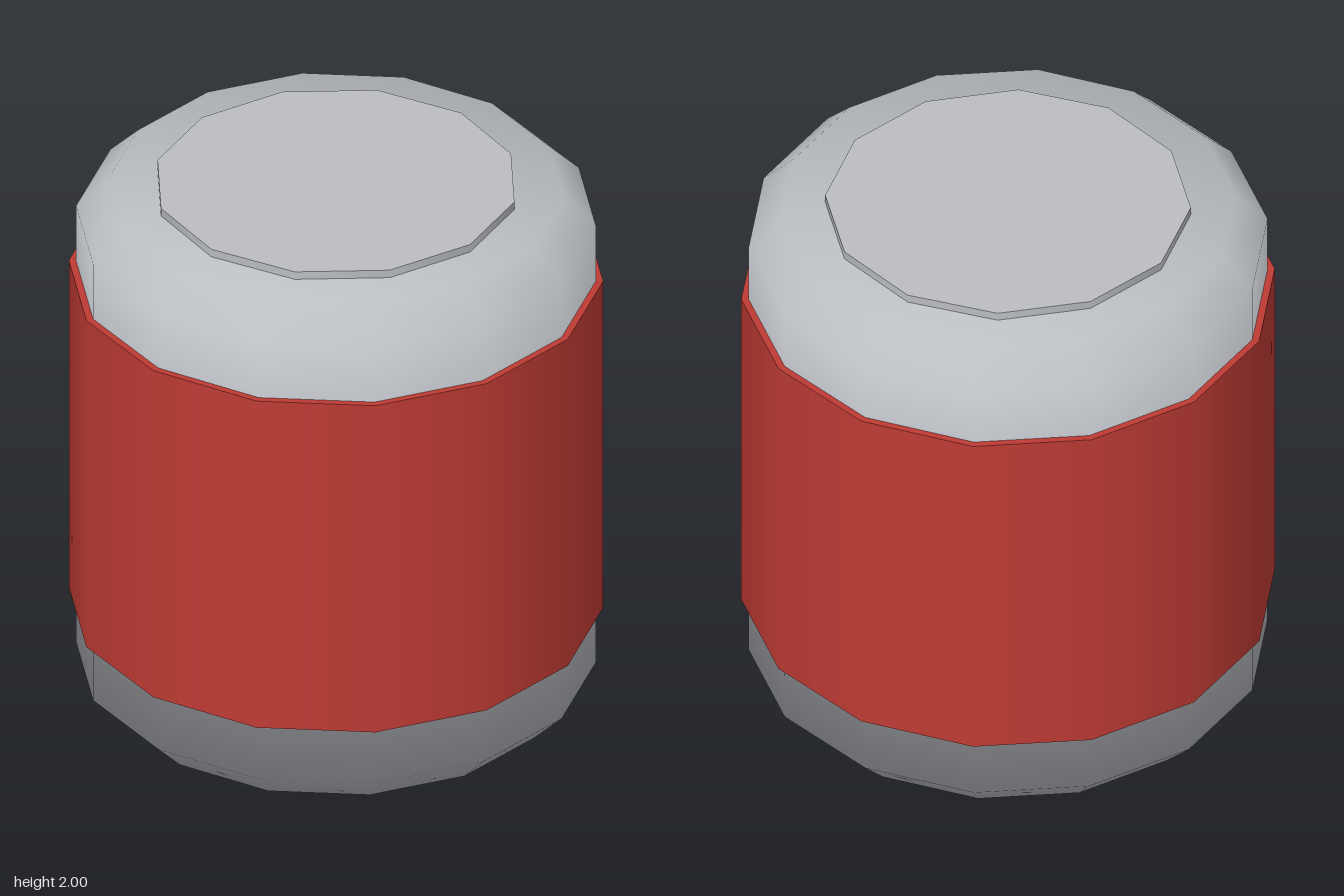
import * as THREE from 'three';

const SIDES = 14;

export function createModel() {
  const model = new THREE.Group();
  const metal = new THREE.MeshStandardMaterial({ color: 0xbbbec3 });
  metal.name = 'light grey metal';
  const red = new THREE.MeshStandardMaterial({ color: 0xbf3b34 });
  red.name = 'red wrap';

  const add = (name, geometry, material, y) => {
    const mesh = new THREE.Mesh(geometry, material);
    mesh.name = name;
    mesh.position.y = y;
    model.add(mesh);
  };

  // Can body: chamfered drum, a corner of the polygon on each side
  const height = 1.97;
  // radius, height, upward tilt of the shading normal in degrees
  const rings = [[0, 0, -90], [0.79, 0, -65], [0.9, 0.11, -40],
    [0.9, height - 0.11, 40], [0.79, height, 65], [0, height, 90]];
  const body = new THREE.LatheGeometry(
    rings.map(([r, y]) => new THREE.Vector2(r, y)), SIDES, Math.PI / 2);
  // Soft shading that rolls over the chamfers
  const normal = body.attributes.normal;
  for (let i = 0; i < normal.count; i++) {
    const tilt = THREE.MathUtils.degToRad(rings[i % rings.length][2]);
    const turn = Math.PI / 2 + Math.floor(i / rings.length) * 2 * Math.PI / SIDES;
    normal.setXYZ(i, Math.sin(turn) * Math.cos(tilt), Math.sin(tilt), Math.cos(turn) * Math.cos(tilt));
  }
  add('body', body, metal, 0);

  // Wrap around the middle, slightly wider than the body
  add('wrapBand', new THREE.CylinderGeometry(0.925, 0.925, 1.31, SIDES, 1, false, Math.PI / 2), red, 0.985);

  // Thin twelve-sided lid plate
  add('lid', new THREE.CylinderGeometry(0.632, 0.632, 0.04, 12), metal, 1.98);

  return model;
}
